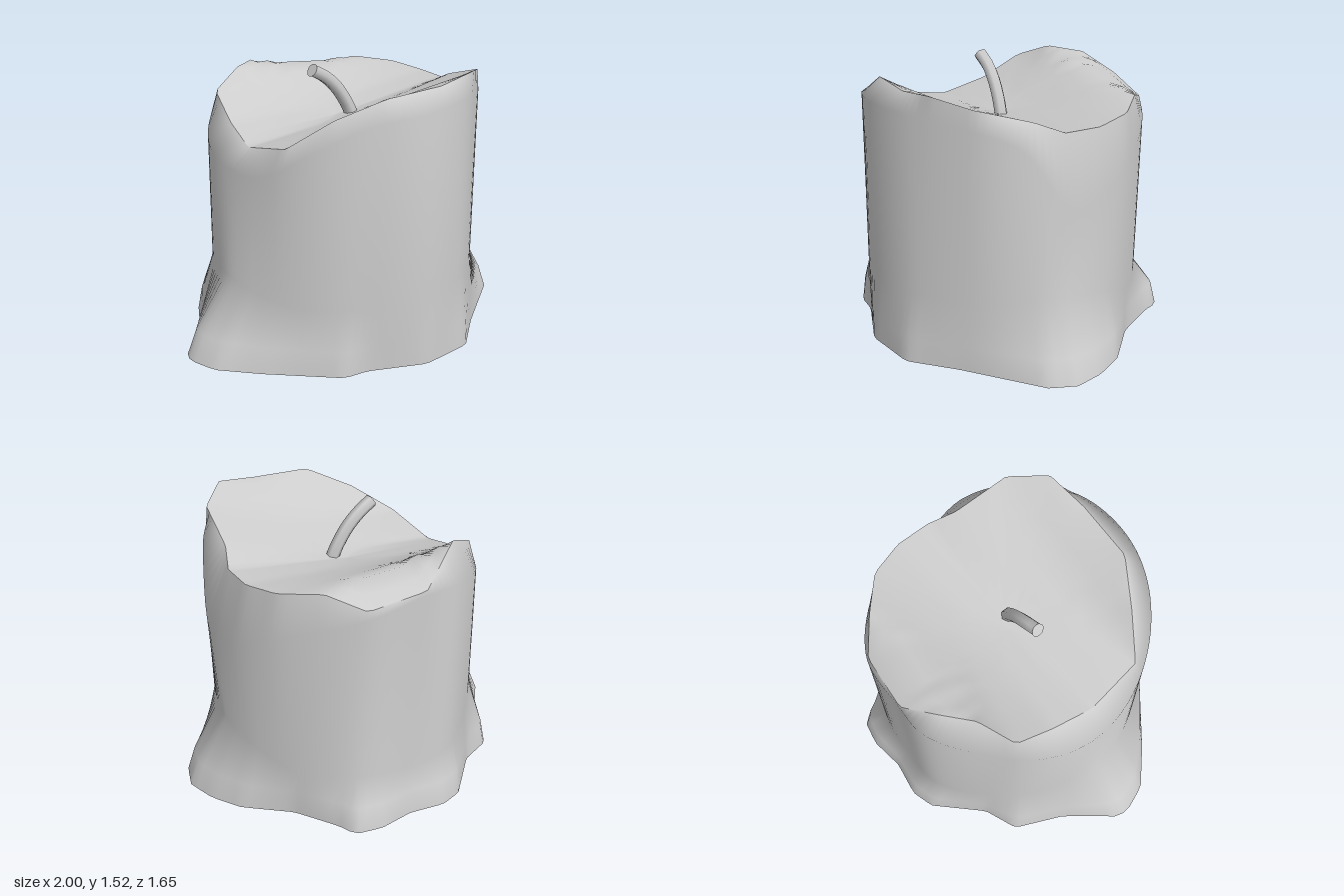
import * as THREE from 'three';

const N = 120;

// Resample a closed outline of [x, y, z] corners at N even angles about the y axis
function ring(pts) {
  const out = [];
  for (let i = 0; i < N; i++) {
    const t = (i / N) * Math.PI * 2 + 0.001, c = Math.cos(t), s = Math.sin(t);
    let best = null, far = 0;
    pts.forEach((p, k) => {
      const q = pts[(k + 1) % pts.length];
      const a = p[2] * c - p[0] * s, b = q[2] * c - q[0] * s; // side of the ray
      if (a * b > 0 || a === b) return;
      const f = a / (a - b);
      const v = p.map((n, j) => n + (q[j] - n) * f);
      const r = v[0] * c + v[2] * s;
      if (r > far) { far = r; best = v; }
    });
    out.push(best);
  }
  return out;
}

const curve = (pts, closed) =>
  new THREE.CatmullRomCurve3(pts.map(p => new THREE.Vector3(...p)), closed, 'centripetal');
const softRing = pts => ring(curve(pts, true).getPoints(160).slice(0, -1).map(v => v.toArray()));

// Skin a list of rings with smooth normals
function loft(rings) {
  const pos = rings.flat(2), idx = [];
  for (let j = 0; j < rings.length - 1; j++) {
    for (let i = 0; i < N; i++) {
      const a = j * N + i, b = j * N + ((i + 1) % N);
      idx.push(a, a + N, b, b, a + N, b + N);
    }
  }
  const g = new THREE.BufferGeometry();
  g.setAttribute('position', new THREE.Float32BufferAttribute(pos, 3));
  g.setIndex(idx);
  g.computeVertexNormals();
  return g;
}

// Height at (x, z) of straight lines spanning a ring from its left edge to its right
function spanHeight(r, x, z) {
  let lo = [Infinity, 0], hi = [-Infinity, 0];
  r.forEach((p, i) => {
    const q = r[(i + 1) % N];
    if ((p[2] - z) * (q[2] - z) > 0 || p[2] === q[2]) return;
    const f = (z - p[2]) / (q[2] - p[2]);
    const hit = [p[0] + (q[0] - p[0]) * f, p[1] + (q[1] - p[1]) * f];
    if (hit[0] < lo[0]) lo = hit;
    if (hit[0] > hi[0]) hi = hit;
  });
  return lo[1] + (hi[1] - lo[1]) * (x - lo[0]) / (hi[0] - lo[0]);
}

export function createModel() {
  const group = new THREE.Group();
  const wax = new THREE.MeshStandardMaterial({ color: 0xcccccc });
  wax.name = 'light grey';
  const add = (name, geo) => {
    const m = new THREE.Mesh(geo, wax);
    m.name = name;
    group.add(m);
    return m;
  };

  // Spread-out foot of the melted wax
  const foot = ring([
    [0.06, 0.83], [0.37, 0.765], [0.58, 0.54], [0.95, 0.2], [1, 0.05], [0.95, -0.12], [0.85, -0.28],
    [0.62, -0.47], [0.47, -0.7], [0.43, -0.8], [0.28, -0.83], [0.08, -0.8], [-0.12, -0.83],
    [-0.25, -0.79], [-0.48, -0.55], [-0.67, -0.47], [-0.79, -0.2], [-1, 0.07], [-1, 0.14],
    [-0.94, 0.29], [-0.75, 0.46], [-0.4, 0.73], [-0.26, 0.73],
  ].map(([x, z]) => [x, 0, z]));

  // Where the foot meets the upright body
  const neck = softRing([
    [0.04, 0.4, 0.805], [0.33, 0.4, 0.73], [0.6, 0.4, 0.48], [0.73, 0.41, 0.25], [0.78, 0.41, 0],
    [0.74, 0.36, -0.26], [0.59, 0.26, -0.49], [0.3, 0.27, -0.7], [0, 0.25, -0.73], [-0.22, 0.28, -0.71],
    [-0.49, 0.34, -0.5], [-0.66, 0.4, -0.27], [-0.73, 0.42, 0.02], [-0.67, 0.38, 0.32],
    [-0.5, 0.34, 0.56], [-0.26, 0.36, 0.72],
  ]);

  // Foot edge, slightly raised and drawn in towards the neck
  const lip = foot.map((p, i) => {
    const n = neck[i];
    return [p[0] + (n[0] - p[0]) * 0.24, 0.14, p[2] + (n[2] - p[2]) * 0.24];
  });

  // Rounded shoulder below the rim
  const shoulder = softRing([
    [0.02, 1.38, 0.785], [0.33, 1.4, 0.72], [0.62, 1.36, 0.47], [0.75, 1.26, 0.25], [0.83, 0.92, 0],
    [0.77, 1.0, -0.26], [0.6, 1.12, -0.5], [0.31, 1.22, -0.705], [0, 1.28, -0.73], [-0.22, 1.29, -0.72],
    [-0.5, 1.2, -0.5], [-0.66, 1.1, -0.27], [-0.725, 1.04, 0.02], [-0.66, 1.04, 0.32],
    [-0.5, 1.2, 0.56], [-0.26, 1.34, 0.72],
  ]);

  // Uneven melted rim
  const rim = ring([
    [-0.12, 1.46, 0.67], [0.22, 1.48, 0.67], [0.46, 1.52, 0.63], [0.62, 1.47, 0.46], [0.66, 1.37, 0.15],
    [0.72, 1.31, 0], [0.72, 1.31, -0.2], [0.65, 1.33, -0.4], [0.47, 1.35, -0.56], [0.3, 1.27, -0.7],
    [-0.03, 1.31, -0.73], [-0.2, 1.4, -0.62], [-0.36, 1.41, -0.48], [-0.55, 1.32, -0.38],
    [-0.575, 1.2, -0.16], [-0.6, 1.13, 0.09], [-0.56, 1.2, 0.41], [-0.35, 1.35, 0.54],
  ]);

  add('candleBody', loft([foot, lip, neck, shoulder, rim]));

  // Top sagging into a trough that runs from side to side
  const sag = k => rim.map(([x, , z]) =>
    [x * k, spanHeight(rim, x * k, z * k) - 0.03 * (1 - k), z * k]);
  add('meltedTop', loft([rim, ...[0.9, 0.75, 0.6, 0.45, 0.3, 0.15, 0.001].map(sag)]));

  // Flat underside
  add('underside', loft([foot.map(([x, , z]) => [x * 0.001, 0, z * 0.001]), foot]));

  // Bent wick with a flat cut end
  const path = curve([
    [0.09, 1.14, 0.045], [0.055, 1.24, 0.04], [-0.02, 1.36, 0.036], [-0.1, 1.435, 0.037], [-0.18, 1.48, 0.045],
  ], false);
  add('wick', new THREE.TubeGeometry(path, 10, 0.037, 6, false));
  const end = add('wickEnd', new THREE.CircleGeometry(0.037, 12));
  end.position.copy(path.getPoint(1));
  end.quaternion.setFromUnitVectors(new THREE.Vector3(0, 0, 1), path.getTangent(1));

  return group;
}
